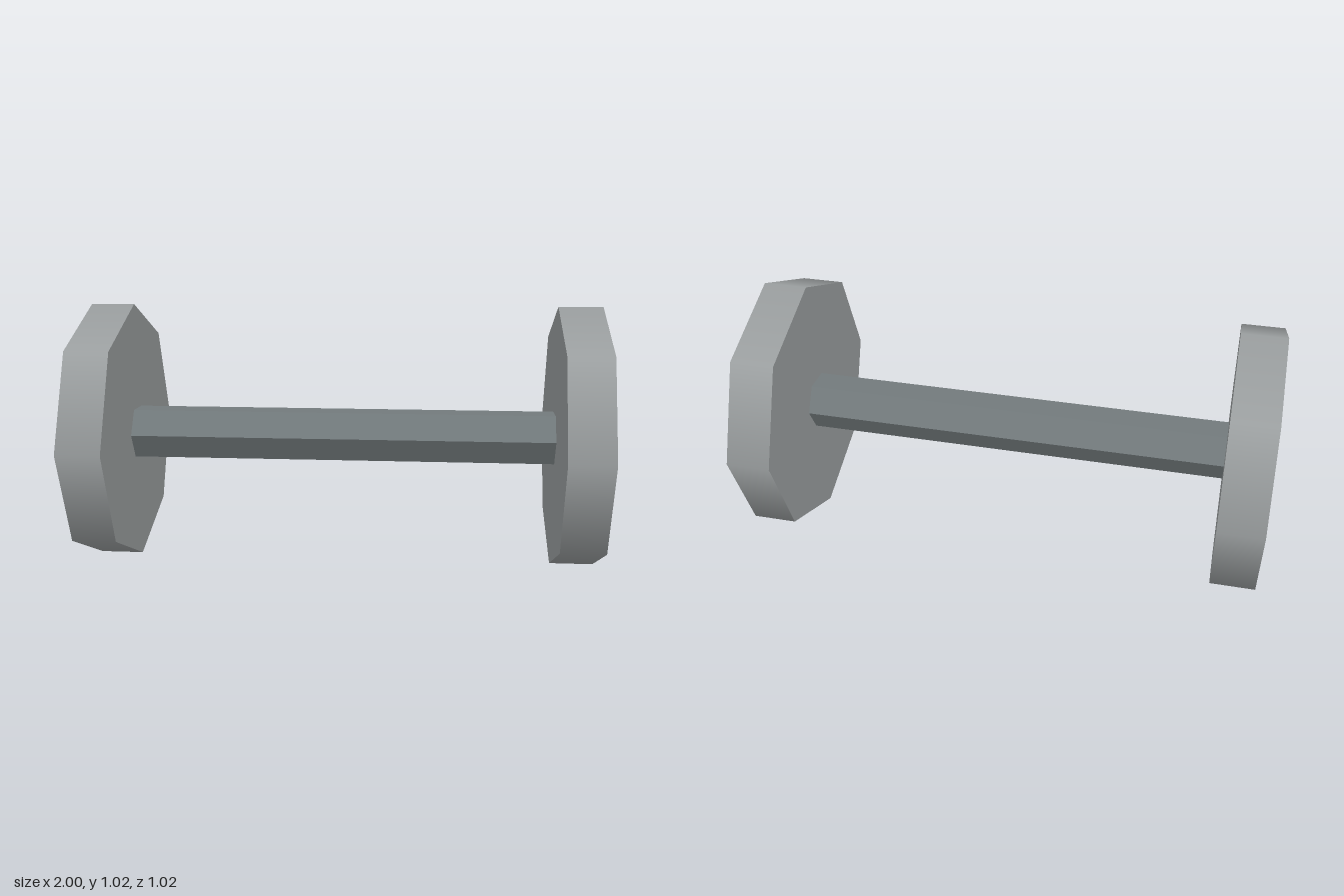
import * as THREE from 'three';

const plateRadius = 0.511, plateWidth = 0.17, barRadius = 0.109;

export function createModel() {
  const model = new THREE.Group();
  model.name = 'dumbbell';
  const plateGrey = new THREE.MeshStandardMaterial({ color: 0x9a9e9f });
  plateGrey.name = 'plate grey';
  const barGrey = new THREE.MeshStandardMaterial({ color: 0x727a7c });
  barGrey.name = 'bar grey';

  // A prism lying along x, with a corner pointing to the front
  const addPrism = (name, geometry, material, x) => {
    const mesh = new THREE.Mesh(geometry.rotateZ(Math.PI / 2), material);
    mesh.name = name;
    mesh.position.set(x, plateRadius, 0);
    model.add(mesh);
  };

  // Hexagonal bar with hard edges
  const bar = new THREE.CylinderGeometry(barRadius, barRadius, 2 - 2 * plateWidth, 6, 1, true).toNonIndexed();
  bar.computeVertexNormals();
  addPrism('bar', bar, barGrey, 0);

  // Octagonal end plates with smooth rims
  for (const [name, side] of [['leftPlate', 1], ['rightPlate', -1]]) {
    const plate = new THREE.CylinderGeometry(plateRadius, plateRadius, plateWidth, 8);
    addPrism(name, plate, plateGrey, side * (1 - plateWidth / 2));
  }
  return model;
}
